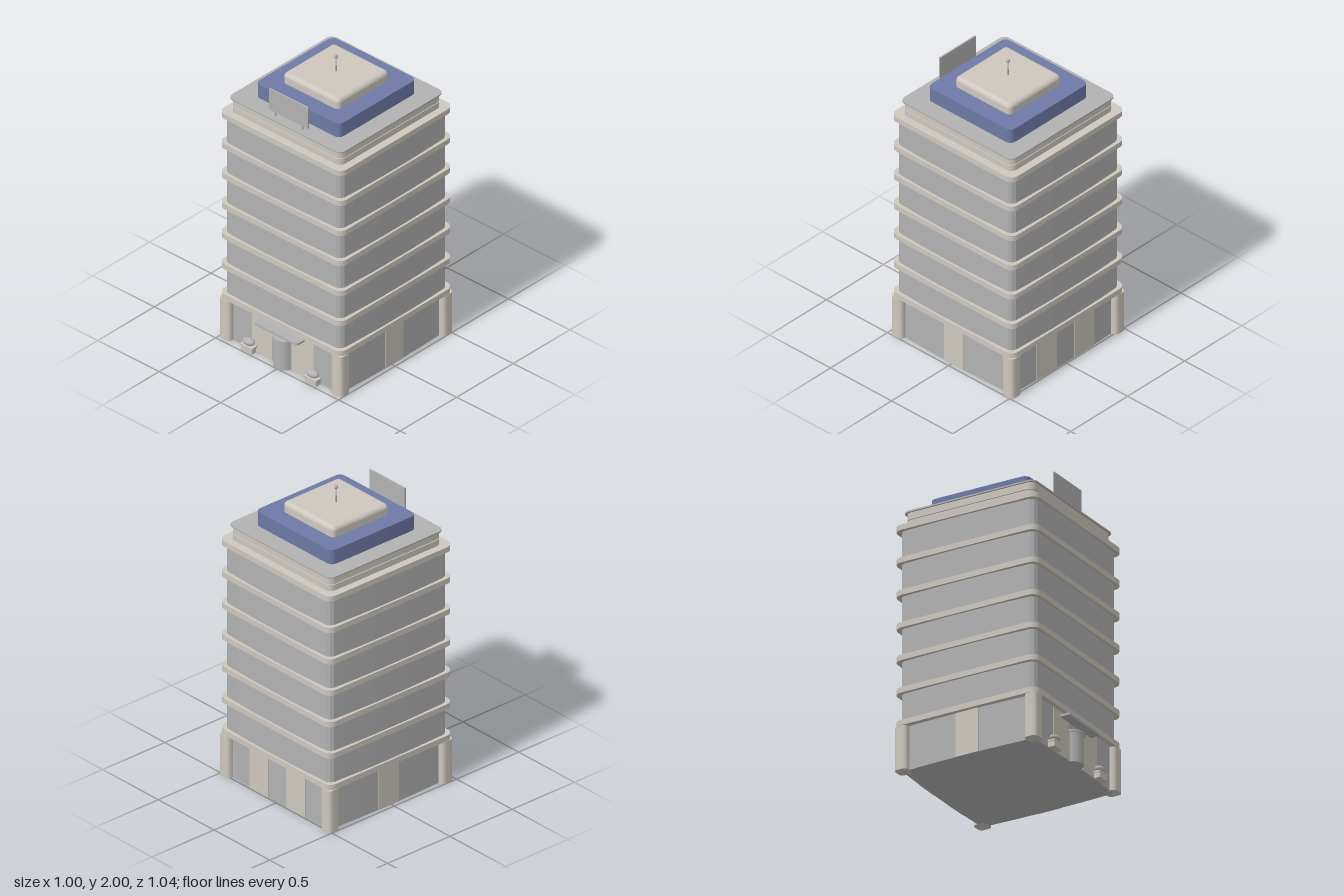
import * as THREE from 'three';
import { toCreasedNormals } from 'three/addons/utils/BufferGeometryUtils.js';
import { RoundedBoxGeometry } from 'three/addons/geometries/RoundedBoxGeometry.js';

export function createModel() {
  const model = new THREE.Group();
  const tower = new THREE.Group();
  tower.name = 'tower';
  tower.position.z = -0.02;
  model.add(tower);

  const mat = (name, color) => {
    const m = new THREE.MeshStandardMaterial({ color });
    m.name = name;
    return m;
  };
  const stone = mat('warm stone', 0xcdc7be);
  const grey = mat('grey', 0xb2b2b2);
  const blue = mat('roof blue', 0x6d7aa6);

  const add = (parent, name, geometry, material, x = 0, y = 0, z = 0) => {
    const mesh = new THREE.Mesh(geometry, material);
    mesh.name = name;
    mesh.position.set(x, y, z);
    parent.add(mesh);
    return mesh;
  };

  // Extrude a plan outline upwards from y = 0
  const upright = (shape, height) => {
    const g = new THREE.ExtrudeGeometry(shape, { depth: height, bevelEnabled: false, curveSegments: 4 });
    g.rotateX(-Math.PI / 2);
    return toCreasedNormals(g, 0.5);
  };

  // Rounded rectangle in plan
  const slab = (w, d, r, height) => {
    const s = new THREE.Shape();
    const x = w / 2, y = d / 2;
    s.moveTo(-x + r, -y);
    s.lineTo(x - r, -y);
    s.absarc(x - r, -y + r, r, -Math.PI / 2, 0);
    s.absarc(x - r, y - r, r, 0, Math.PI / 2);
    s.absarc(-x + r, y - r, r, Math.PI / 2, Math.PI);
    s.absarc(-x + r, -y + r, r, Math.PI, Math.PI * 1.5);
    return upright(s, height);
  };

  // Square plan with slightly bowed, panelled sides
  const bow = (t, depth) => depth - 0.06 * t * t;
  const panelled = (stops, depth, corner, height) => {
    const pts = [];
    for (let k = 0; k < 4; k++) {
      const c = new THREE.Vector2();
      for (const t of stops) pts.push(new THREE.Vector2(bow(t, depth), t).rotateAround(c, k * Math.PI / 2));
      pts.push(new THREE.Vector2(corner, corner).rotateAround(c, k * Math.PI / 2));
    }
    const g = new THREE.ExtrudeGeometry(new THREE.Shape(pts), { depth: height, bevelEnabled: false });
    g.rotateX(-Math.PI / 2);
    return toCreasedNormals(g, 0.01);
  };

  // Ground floor with stone panels on each side
  const baseDepth = 0.472;
  add(tower, 'groundFloor', panelled([-0.41, -0.25, -0.08, 0.08, 0.25, 0.41], baseDepth, 0.455, 0.29), grey);
  const stonePanel = (a, b, turn) => {
    const s = new THREE.Shape([
      new THREE.Vector2(a, -bow(a, baseDepth) + 0.003),
      new THREE.Vector2(a, -bow(a, baseDepth) - 0.003),
      new THREE.Vector2(b, -bow(b, baseDepth) - 0.003),
      new THREE.Vector2(b, -bow(b, baseDepth) + 0.003),
    ]);
    add(tower, 'stonePanel', upright(s, 0.289), stone).rotation.y = turn;
  };
  for (const turn of [0, Math.PI]) {
    stonePanel(-0.25, -0.08, turn);
    stonePanel(0.08, 0.25, turn);
  }
  for (const turn of [Math.PI / 2, -Math.PI / 2]) stonePanel(-0.08, 0.08, turn);

  // Corner pillars
  for (const x of [-1, 1]) for (const z of [-1, 1])
    add(tower, 'cornerPillar', slab(0.09, 0.09, 0.028, 0.287), stone, x * 0.455, 0, z * 0.455);

  // Upper storeys separated by stone bands
  const pitch = 0.215;
  const storey = panelled([-0.44, -0.36, -0.24, -0.12, 0.12, 0.24, 0.36, 0.44], 0.486, 0.462, pitch - 0.034);
  const band = slab(1, 1, 0.055, 0.036);
  for (let i = 0; i < 7; i++) {
    add(tower, 'floorBand', band, stone, 0, 0.289 + i * pitch, 0);
    if (i < 6) add(tower, 'storeyWall', storey, grey, 0, 0.324 + i * pitch, 0);
  }

  // Stepped parapet and roof
  add(tower, 'parapetLower', slab(0.9, 0.9, 0.045, 0.04), stone, 0, 1.615, 0);
  add(tower, 'parapetGroove', slab(0.885, 0.885, 0.04, 0.012), stone, 0, 1.65, 0);
  add(tower, 'parapetUpper', slab(0.9, 0.9, 0.045, 0.047), stone, 0, 1.66, 0);
  add(tower, 'roofPlate', slab(0.92, 0.92, 0.045, 0.01), grey, 0, 1.705, 0);
  add(tower, 'roofPodium', slab(0.684, 0.684, 0.04, 0.1), blue, 0, 1.712, 0);
  add(tower, 'penthouse', new RoundedBoxGeometry(0.456, 0.1, 0.456, 4, 0.03), stone, 0, 1.832, 0);

  // Antenna
  add(tower, 'antennaMast', new THREE.CylinderGeometry(0.004, 0.005, 0.11, 10), grey, 0, 1.93, 0);
  add(tower, 'antennaBall', new THREE.SphereGeometry(0.013, 16, 12), grey, 0, 1.987, 0);

  // Blank roof board on two legs
  add(model, 'roofBoard', new THREE.BoxGeometry(0.315, 0.15, 0.01), grey, 0, 1.815, 0.395);
  for (const x of [-0.11, 0.11])
    add(model, 'boardLeg', new THREE.BoxGeometry(0.01, 0.04, 0.008), grey, x, 1.73, 0.395);

  // Rounded entrance under a canopy
  add(model, 'entrance', new THREE.CylinderGeometry(0.067, 0.067, 0.2, 24), grey, 0, 0.1, 0.435);
  add(model, 'entranceCap', new THREE.CylinderGeometry(0.074, 0.074, 0.015, 24), grey, 0, 0.203, 0.435);
  add(model, 'canopy', slab(0.355, 0.1, 0.012, 0.014), grey, 0, 0.25, 0.467);

  // Planters with round shrubs
  for (const x of [-0.26, 0.26]) {
    const planter = new THREE.Group();
    planter.name = 'planter';
    planter.position.set(x, 0, 0.468);
    model.add(planter);
    add(planter, 'planterBox', slab(0.09, 0.05, 0.008, 0.036), stone);
    add(planter, 'planterRim', slab(0.1, 0.056, 0.008, 0.012), stone, 0, 0.034, 0);
    add(planter, 'planterDome', new THREE.SphereGeometry(0.045, 18, 12), grey, 0, 0.067, 0).scale.set(1, 0.53, 0.65);
  }

  return model;
}
